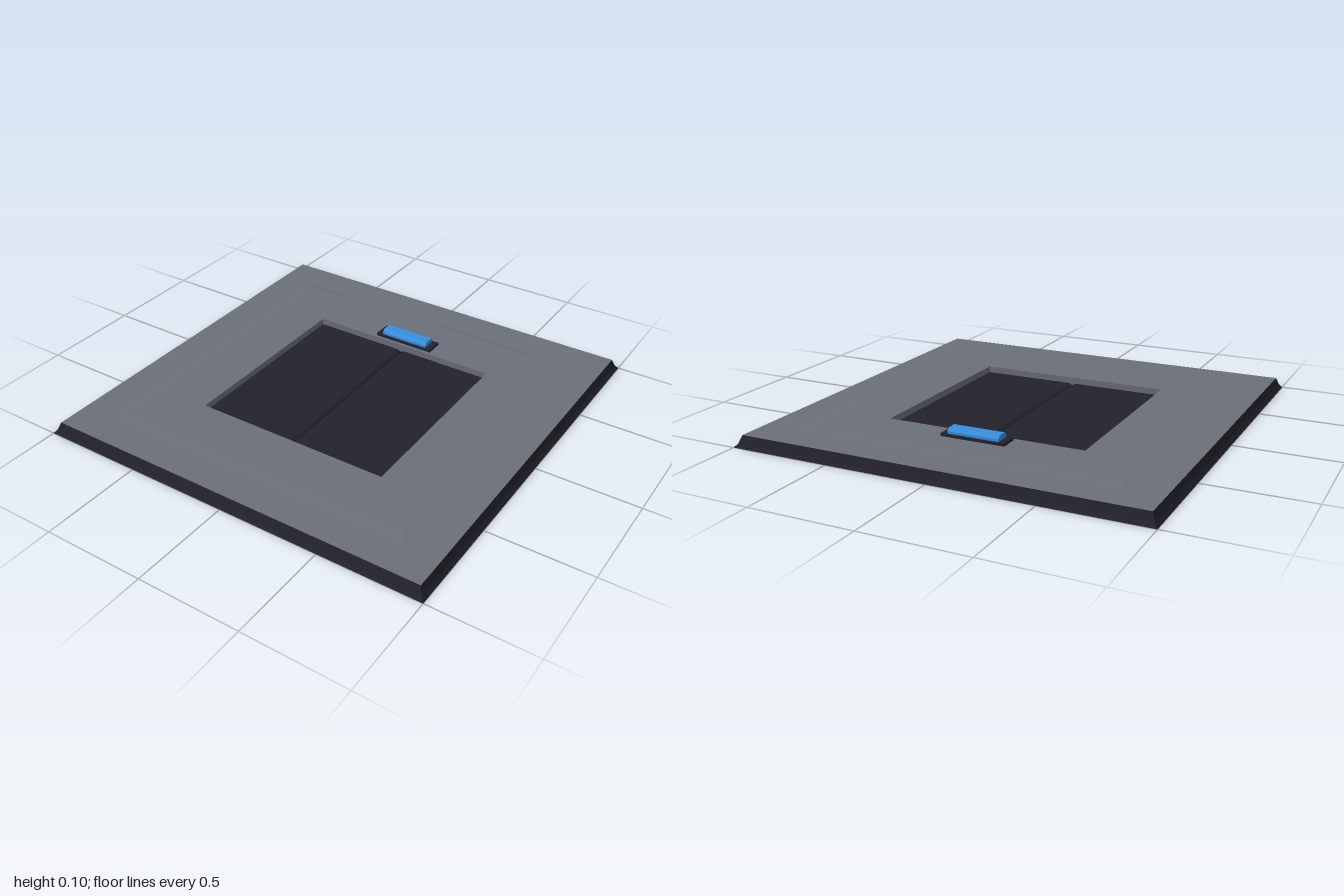
import * as THREE from 'three';

const paint = (name, color) => {
  const m = new THREE.MeshStandardMaterial({ color });
  m.name = name;
  return m;
};

// Flat-faced surface through concentric square loops given as [half size, y]
function squareLoops(profile) {
  const pos = [];
  const corner = ([r, y], k) => {
    const a = Math.PI / 4 + (k * Math.PI) / 2;
    return [Math.sign(Math.cos(a)) * r, y, Math.sign(Math.sin(a)) * r];
  };
  for (let i = 0; i < profile.length - 1; i++) {
    for (let k = 0; k < 4; k++) {
      const a = corner(profile[i], k), b = corner(profile[i], k + 1);
      const c = corner(profile[i + 1], k + 1), d = corner(profile[i + 1], k);
      pos.push(...a, ...d, ...b, ...b, ...d, ...c);
    }
  }
  const g = new THREE.BufferGeometry();
  g.setAttribute('position', new THREE.Float32BufferAttribute(pos, 3));
  g.computeVertexNormals();
  return g;
}

// Prism with an (x, y) outline, centred along z
function prism(points, length) {
  const shape = new THREE.Shape(points.map(([x, y]) => new THREE.Vector2(x, y)));
  return new THREE.ExtrudeGeometry(shape, { depth: length, bevelEnabled: false })
    .translate(0, 0, -length / 2);
}

export function createModel() {
  const model = new THREE.Group();
  model.name = 'floorHatch';
  const grey = paint('plateGrey', 0x6b6f7b);
  const dark = paint('darkTrim', 0x23222c);
  const black = paint('seamBlack', 0x181720);
  const blue = paint('lampBlue', 0x348fde);

  const add = (name, geometry, material, x = 0, y = 0, z = 0) => {
    const mesh = new THREE.Mesh(geometry, material);
    mesh.name = name;
    mesh.position.set(x, y, z);
    model.add(mesh);
    return mesh;
  };

  // Underside and sloping outer rim
  const underside = new THREE.PlaneGeometry(2, 2).rotateX(Math.PI / 2);
  add('underside', underside, grey);
  add('outerRim', squareLoops([[1, 0], [0.985, 0.018], [0.97, 0.055]]), dark);

  // Top plate, slightly raised inside, with the walls of the square recess
  add('topPlate', squareLoops([
    [0.97, 0.055], [0.8, 0.055], [0.765, 0.059], [0.495, 0.059], [0.495, 0.01],
  ]), grey);

  // Two sunken doors with bevelled edges along the centre seam
  const floor = 0.027;
  for (const side of [-1, 1]) {
    const outline = [[0.004, 0.01], [0.495, 0.01], [0.495, floor], [0.018, floor], [0.004, 0.02]]
      .map(([x, y]) => [x * side, y]);
    add(side > 0 ? 'leftDoor' : 'rightDoor', prism(outline, 0.99), dark);
  }
  add('doorSeam', new THREE.BoxGeometry(0.012, 0.008, 0.99), black, 0, 0.014, 0);

  // Status lamp behind the doors
  add('lampBase', new THREE.BoxGeometry(0.32, 0.016, 0.092), dark, 0, 0.064, -0.558);
  const lampOutline = [
    [-0.038, 0.07], [0.038, 0.07], [0.038, 0.084], [0.024, 0.098], [-0.024, 0.098], [-0.038, 0.084],
  ];
  add('lamp', prism(lampOutline, 0.256).rotateY(Math.PI / 2), blue, 0, 0, -0.558);

  return model;
}
